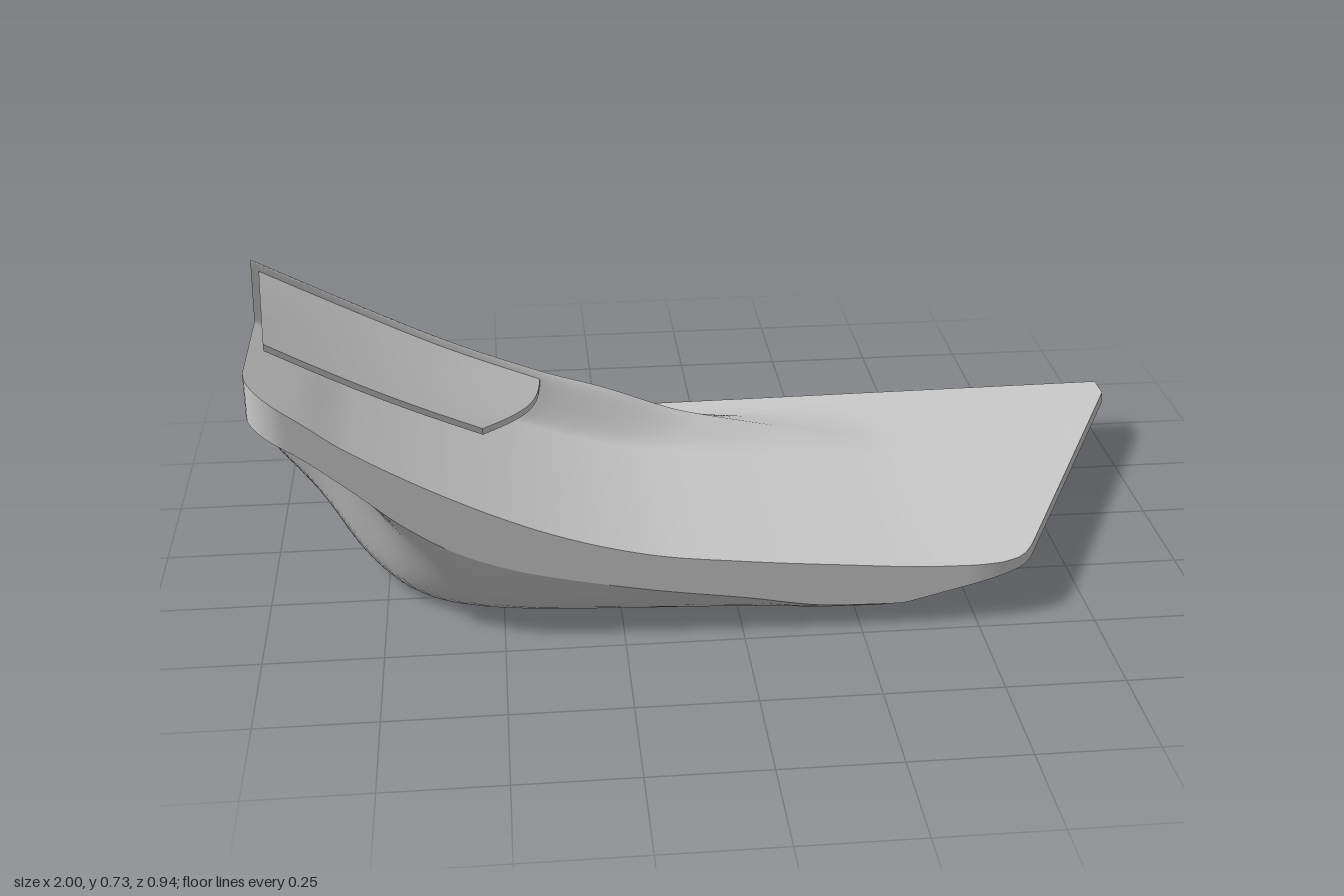
import * as THREE from 'three';

const clamp = (t) => Math.min(1, Math.max(0, t));
const lerp = (a, b, t) => a + (b - a) * t;
const smooth = (t) => { t = clamp(t); return t * t * (3 - 2 * t); };

// Straight or smooth curve through a few [position, value] points
function curve(p, soft = true) {
  const n = p.length - 1;
  const slope = (i) => {
    const a = p[Math.max(0, i - 1)], b = p[Math.min(n, i + 1)];
    return (b[1] - a[1]) / (b[0] - a[0]);
  };
  return (x) => {
    if (x <= p[0][0]) return p[0][1];
    if (x >= p[n][0]) return p[n][1];
    let i = 0;
    while (x > p[i + 1][0]) i++;
    const h = p[i + 1][0] - p[i][0], t = (x - p[i][0]) / h;
    if (!soft) return lerp(p[i][1], p[i + 1][1], t);
    const a = t * t * (3 - 2 * t), b = t * (1 - t) * (1 - t), c = t * t * (t - 1);
    return p[i][1] * (1 - a) + p[i + 1][1] * a + h * (slope(i) * b + slope(i + 1) * c);
  };
}

// Plan outline
const backZ = (x) => -0.454 - 0.0165 * x;
const rightFront = curve([[0.5, 0.47], [0.55, 0.463], [0.59, 0.445], [0.615, 0.42], [0.635, 0.385], [1, -0.4]], false);
const frontZ = (x) => {
  const c = 0.08 - Math.min(0.08, x + 1);
  return x < 0 ? 0.39 + Math.sqrt(Math.max(0, 0.0064 - c * c)) : rightFront(x);
};
const edgeX = (z) => (z > 0.4 ? 0.63 - (z - 0.4) * 1.1 : Math.min(1, 0.63 + (0.4 - z) * 0.4625));

// Heights along x
const skinY = curve([[-1, 0.6], [-0.9, 0.53], [-0.8, 0.455], [-0.6, 0.34], [-0.4, 0.25], [-0.2, 0.192], [0, 0.165], [0.2, 0.146], [0.42, 0.13], [1, 0.13]]);
const crestY = curve([[-1, 0.73], [-0.8, 0.59], [-0.6, 0.468], [-0.4, 0.367], [-0.25, 0.308], [-0.1, 0.242], [0, 0.212], [0.2, 0.165], [0.42, 0.13], [1, 0.13]]);
const crestLine = curve([[-1, 0.08], [-0.8, -0.01], [-0.6, -0.07], [-0.4, -0.12], [-0.2, -0.152], [0, -0.175], [0.2, -0.188], [0.4, -0.19], [1, -0.19]]);
const backTop = curve([[-1, 0.17], [-0.9, 0.15], [-0.8, 0.136], [-0.7, 0.13], [1, 0.13]]);
const keelY = curve([[-1, 0.14], [-0.9, 0.115], [-0.8, 0.05], [-0.7, 0.015], [-0.6, 0], [1, 0]]);
const lipY = curve([[-1, 0.51], [-0.9, 0.45], [-0.8, 0.37], [-0.7, 0.285], [-0.6, 0.22], [-0.5, 0.178], [-0.4, 0.15], [-0.2, 0.11], [0, 0.08], [0.2, 0.05], [1, 0.05]]);
const riseStart = curve([[-1, -0.28], [-0.9, -0.08], [-0.8, 0.1], [-0.7, 0.22], [-0.55, 0.28], [-0.3, 0.31], [1, 0.34]]);
const crestWidth = curve([[-1, 0.03], [-0.5, 0.045], [-0.3, 0.08], [0, 0.12], [1, 0.12]]);
const backFall = curve([[0, 1], [0.22, 0.71], [0.365, 0.5], [0.51, 0.27], [0.7, 0.07], [0.82, 0.01], [1, 0]]);

const crestZ = (x) => Math.min(crestLine(x), lerp(backZ(x), frontZ(x), 0.65));
const crestEnd = (x) => crestZ(x) + Math.min(crestWidth(x), 0.3 * (frontZ(x) - backZ(x)));

function topY(x, z) {
  const c = crestZ(x);
  if (z <= c) return lerp(backTop(x), crestY(x), backFall((c - z) / (c - backZ(x))));
  return lerp(crestY(x), skinY(x), smooth((z - c) / (crestEnd(x) - c)));
}

function underY(x, z) {
  const s = riseStart(x), t = clamp((z - s) / (0.47 - s));
  const f = lerp(t * t, smooth(1.3 * t), smooth((-0.5 - x) / 0.4));
  const side = 0.1 * (1 - (edgeX(z) - x) / 0.4);
  return Math.max(lerp(keelY(x), lipY(x), f), side);
}

// Grid parameters: columns along x, rows that follow the crest
const colX = (u) => -1 + 2 * Math.pow(u, 1.25);
const rowZ = (x, v) => {
  const b = backZ(x), c = crestZ(x), e = crestEnd(x);
  if (v <= 0.5) return lerp(b, c, v / 0.5);
  if (v <= 0.65) return lerp(c, e, (v - 0.5) / 0.15);
  return lerp(e, frontZ(x), (v - 0.65) / 0.35);
};

// Surface patch from a rule
function sheet(fn, nu, nv, flip) {
  const pos = [], idx = [];
  for (let j = 0; j <= nv; j++) for (let i = 0; i <= nu; i++) pos.push(...fn(i / nu, j / nv));
  for (let j = 0; j < nv; j++) for (let i = 0; i < nu; i++) {
    const a = j * (nu + 1) + i, b = a + 1, c = a + nu + 1, d = c + 1;
    if (flip) idx.push(a, c, b, b, c, d);
    else idx.push(a, b, c, b, d, c);
  }
  const g = new THREE.BufferGeometry();
  g.setAttribute('position', new THREE.Float32BufferAttribute(pos, 3));
  g.setIndex(idx);
  g.computeVertexNormals();
  return g;
}

export function createModel() {
  const model = new THREE.Group();
  const grey = new THREE.MeshStandardMaterial({ color: 0xcacaca });
  grey.name = 'plain grey';
  const add = (parent, name, ...args) => {
    const m = new THREE.Mesh(sheet(...args), grey);
    m.name = name;
    parent.add(m);
  };
  const group = (name) => {
    const g = new THREE.Group();
    g.name = name;
    model.add(g);
    return g;
  };

  // Main shell
  const body = group('body');
  const N = 120, M = 60;
  add(body, 'upperSkin', (u, v) => { const x = colX(u), z = rowZ(x, v); return [x, topY(x, z), z]; }, N, M, true);
  add(body, 'underside', (u, v) => { const x = colX(u), z = rowZ(x, v); return [x, underY(x, z), z]; }, N, M, false);
  add(body, 'frontRim', (u, v) => {
    const x = colX(u), z = frontZ(x);
    return [x, lerp(underY(x, z), topY(x, z), v), z];
  }, N, 1, false);
  for (const x of [-1, 1]) add(body, x < 0 ? 'rightEnd' : 'leftEnd', (u, v) => {
    const z = rowZ(x, u);
    return [x, lerp(underY(x, z), topY(x, z), v), z];
  }, M, 1, x > 0);

  // Back face with recessed pockets between ribs: [from, to, rim height]
  const back = group('backFrame');
  const depth = 0.22;
  const low = (x) => underY(x, backZ(x)), high = (x) => backTop(x);
  const wall = (name, a, b, y0, y1, inset = 0) => add(back, name, (u, v) => {
    const x = lerp(a, b, u);
    return [x, lerp(y0(x), y1(x), v), backZ(x) + inset];
  }, Math.ceil((b - a) / 0.03), 1, true);
  let last = -1;
  for (const [a, b, rim] of [[-0.89, -0.68, 0.013], [-0.66, -0.51, 0.025], [-0.49, 0.22, 0.013], [0.25, 0.39, 0.028], [0.42, 0.88, 0.013]]) {
    const roof = (x) => high(x) - rim;
    const floorAt = (x, d) => Math.min(roof(x), underY(x, backZ(x) + d) + rim);
    wall('rib', last, a, low, high);
    wall('lowerRim', a, b, low, (x) => floorAt(x, 0));
    wall('upperRim', a, b, roof, high);
    wall('pocketEnd', a, b, (x) => floorAt(x, depth), roof, depth);
    const n = Math.ceil((b - a) / 0.03);
    const shelf = (name, y, flip) => add(back, name, (u, v) => {
      const x = lerp(a, b, u);
      return [x, y(x, v * depth), backZ(x) + v * depth];
    }, n, 6, flip);
    shelf('pocketRoof', roof, false);
    shelf('pocketFloor', floorAt, true);
    for (const x of [a, b]) add(back, 'pocketSide', (u, v) =>
      [x, lerp(floorAt(x, u * depth), roof(x), v), backZ(x) + u * depth], 6, 1, x === a);
    last = b;
  }
  wall('rib', last, 1, low, high);

  // Thin raised flap running forward from the crest
  const flap = group('flap');
  const flapAt = (u, v, drop) => {
    const xi = lerp(-0.985, -0.4, u), arc = Math.sin(Math.PI * u);
    const inner = [xi, crestY(xi) - 0.015, crestLine(xi) + 0.01];
    const outer = [lerp(-0.95, -0.53, u), lerp(0.675, 0.4, u) - 0.012 * arc, lerp(0.425, 0.262, u) - 0.008 * arc];
    const bow = Math.sin(Math.PI * v);
    return [
      lerp(inner[0], outer[0], v) + 0.035 * bow * u * u,
      lerp(inner[1], outer[1], v) + 0.008 * bow * (1 - u) - 0.008 * bow * u - drop,
      lerp(inner[2], outer[2], v),
    ];
  };
  const thick = 0.014;
  add(flap, 'flapTop', (u, v) => flapAt(u, v, 0), 24, 16, true);
  add(flap, 'flapBottom', (u, v) => flapAt(u, v, thick), 24, 16, false);
  for (const e of [0, 1]) {
    add(flap, 'flapLongEdge', (u, v) => flapAt(u, e, thick * (1 - v)), 24, 1, e === 0);
    add(flap, 'flapShortEdge', (u, v) => flapAt(e, u, thick * (1 - v)), 16, 1, e === 1);
  }
  return model;
}
